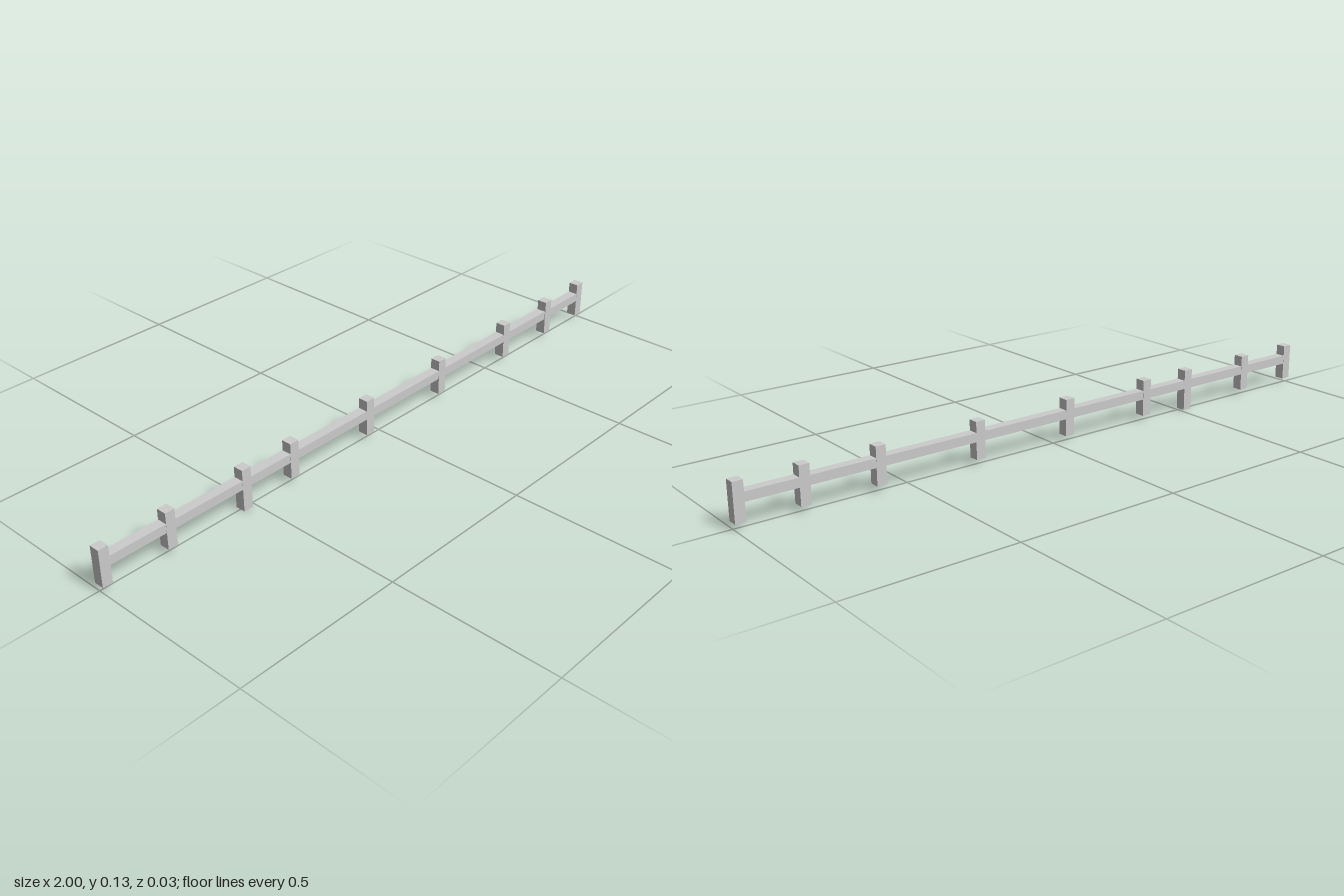
import * as THREE from 'three';

const material = new THREE.MeshStandardMaterial({ color: 0xcccccc, flatShading: true });

// Box given by its centre x, bottom, top, width and depth
function block(name, x, bottom, top, width, depth, z = 0) {
  const mesh = new THREE.Mesh(new THREE.BoxGeometry(width, top - bottom, depth), material);
  mesh.name = name;
  mesh.position.set(x, (bottom + top) / 2, z);
  return mesh;
}

export function createModel() {
  const group = new THREE.Group();
  group.name = 'railing';

  // Long horizontal rail running between the end posts
  group.add(block('rail', 0, 0.069, 0.096, 1.97, 0.03));

  // Unevenly spaced square posts; one reaches down to the ground
  const posts = [-0.985, -0.782, -0.527, -0.353, -0.051, 0.267, 0.585, 0.806, 0.985];
  posts.forEach((x, i) => {
    const isLong = i === 2;
    const isForward = i === 7; // sits a hair forward, so the rail covers its back
    group.add(block(isLong ? 'longPost' : 'post', x, isLong ? 0 : 0.017, 0.128, 0.03, 0.031, isForward ? 0.001 : 0));
  });

  return group;
}
